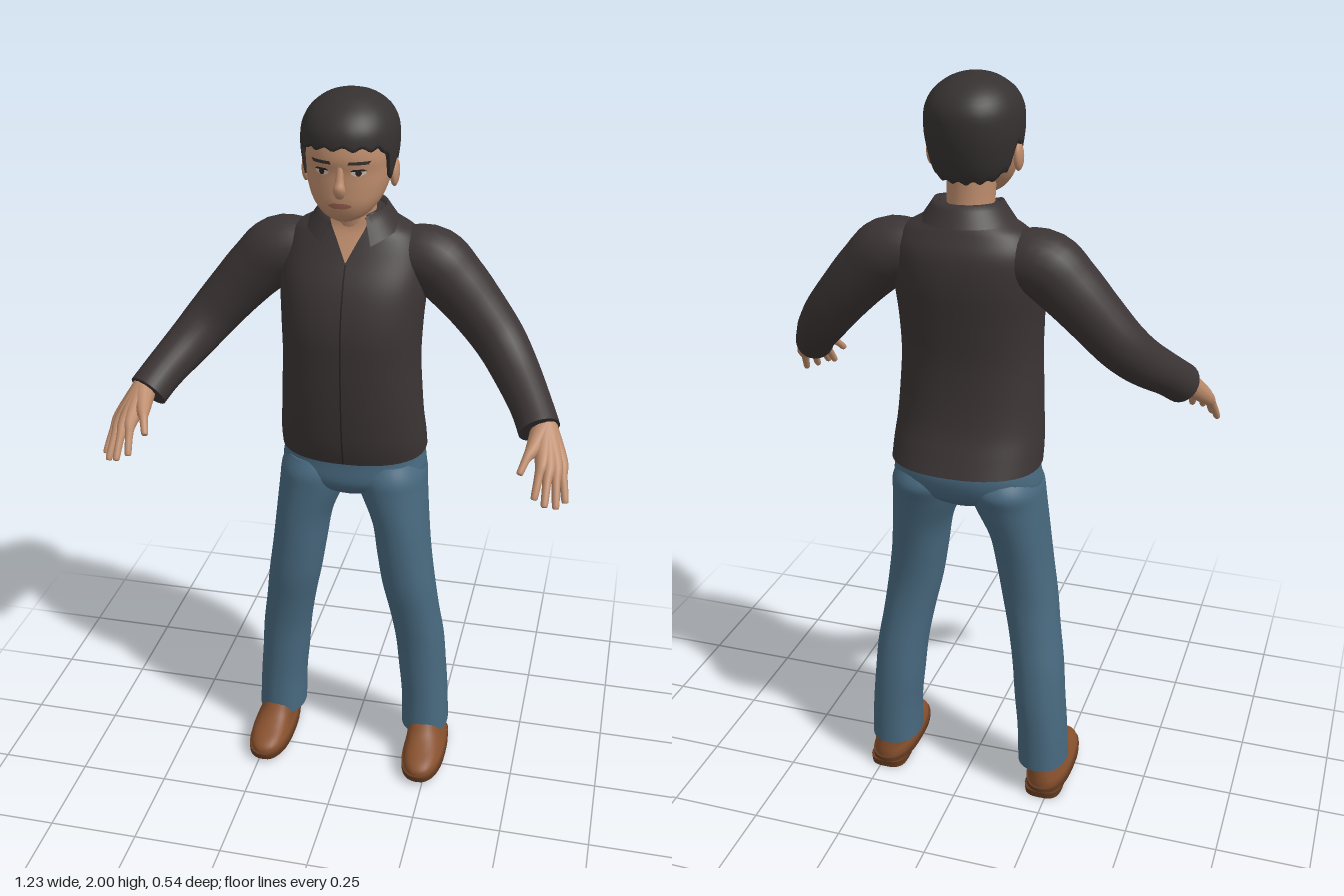
import * as THREE from 'three';

const mat = (name, color, side = THREE.FrontSide) => {
  const m = new THREE.MeshStandardMaterial({ color, side });
  m.name = name;
  return m;
};

// Uniform Catmull-Rom through rows of numbers, every column smoothed alike
function smooth(rows, steps = 5) {
  const out = [];
  for (let i = 0; i < rows.length - 1; i++) {
    const [a, b, c, d] = [-1, 0, 1, 2].map(k => rows[Math.min(rows.length - 1, Math.max(0, i + k))]);
    for (let s = 0; s < steps; s++) {
      const t = s / steps;
      out.push(b.map((v, j) => v + 0.5 * t * (c[j] - a[j] + t * (2 * a[j] - 5 * v + 4 * c[j] - d[j]
        + t * (3 * (v - c[j]) + d[j] - a[j])))));
    }
  }
  out.push(rows[rows.length - 1]);
  return out;
}

// Row of a section table at height y
function at(rows, y) {
  let i = 0;
  while (i < rows.length - 2 && rows[i + 1][0] < y) i++;
  const a = rows[i], b = rows[i + 1];
  const t = Math.min(1, Math.max(0, (y - a[0]) / (b[0] - a[0])));
  return a.map((v, j) => v + (b[j] - v) * t);
}

// Skin a grid of points, rings closed or open
function skin(rings, closed = true) {
  const m = rings[0].length, idx = [];
  for (let i = 0; i < rings.length - 1; i++) {
    for (let j = 0; j < (closed ? m : m - 1); j++) {
      const a = i * m + j, b = i * m + (j + 1) % m;
      idx.push(a, b, b + m, a, b + m, a + m);
    }
  }
  const g = new THREE.BufferGeometry();
  g.setAttribute('position', new THREE.Float32BufferAttribute(rings.flat(2), 3));
  g.setIndex(idx);
  g.computeVertexNormals();
  return g;
}

function capped(rings) {
  const centre = r => {
    const c = [0, 1, 2].map(k => r.reduce((s, p) => s + p[k], 0) / r.length);
    return r.map(() => c);
  };
  const first = rings[0], last = rings[rings.length - 1];
  return skin([centre(first), first, ...rings, last, centre(last)]);
}

// Section rows are [y, halfWidth, zFront, zBack, xCentre]
const spow = (v, e) => Math.sign(v) * Math.abs(v) ** (2 / e);
const ringPoint = ([y, w, zf, zb, cx = 0], a, e) =>
  [cx + w * spow(Math.sin(a), e), y, (zf + zb) / 2 + (zf - zb) / 2 * spow(Math.cos(a), e)];
const angles = n => Array.from({ length: n }, (_, j) => j / n * Math.PI * 2);
const loft = (rows, e = 2, n = 36) => capped(rows.map(r => angles(n).map(a => ringPoint(r, a, e))));

// Round sweep through [x, y, z, radius]
function sweep(points, n = 14, steps = 5) {
  const rows = smooth(points, steps);
  const curve = new THREE.CatmullRomCurve3(rows.map(r => new THREE.Vector3(r[0], r[1], r[2])));
  const f = curve.computeFrenetFrames(rows.length - 1);
  return capped(rows.map((r, i) => angles(n).map(a => {
    const p = new THREE.Vector3(r[0], r[1], r[2]);
    p.addScaledVector(f.normals[i], r[3] * Math.cos(a)).addScaledVector(f.binormals[i], r[3] * Math.sin(a));
    return p.toArray();
  })));
}

// Thin patch laid on the front of a loft; spans are [y, x0, x1]
function patch(rows, e, spans, off, cols = 8) {
  return skin(smooth(spans, 3).map(([y, x0, x1]) => Array.from({ length: cols + 1 }, (_, j) => {
    const x = x0 + (x1 - x0) * j / cols, [, w, zf, zb] = at(rows, y);
    const k = Math.max(0, 1 - Math.abs(x / w) ** e) ** (1 / e);
    return [x, y, (zf + zb) / 2 + (zf - zb) / 2 * k + off];
  })), false);
}

function mirrored(geo) {
  const g = geo.clone().scale(-1, 1, 1), i = g.index.array;
  for (let k = 0; k < i.length; k += 3) [i[k], i[k + 1]] = [i[k + 1], i[k]];
  g.computeVertexNormals();
  return g;
}

export function createModel() {
  const model = new THREE.Group();
  model.name = 'standingMan';
  const skinMat = mat('skin', 0xbd8c6c), shirt = mat('shirt', 0x3b3434, THREE.DoubleSide);
  const seam = mat('seam', 0x262121), hairMat = mat('hair', 0x363131, THREE.DoubleSide);
  const denim = mat('denim', 0x48697f), leather = mat('leather', 0x87502d), soleMat = mat('sole', 0x653c22);
  const white = mat('eyeWhite', 0xc9beb4), dark = mat('eyeDark', 0x2c2220), lip = mat('lip', 0x9c6250);
  const add = (name, geo, m) => {
    const mesh = new THREE.Mesh(geo, m);
    mesh.name = name;
    model.add(mesh);
  };
  const pair = (name, geo, m) => {
    add(name + 'Left', geo, m);
    add(name + 'Right', mirrored(geo), m);
  };

  // Shirt body
  const torso = smooth([
    [1.012, 0.2, 0.045, -0.262], [1.06, 0.199, 0.058, -0.243], [1.12, 0.194, 0.067, -0.222],
    [1.2, 0.189, 0.075, -0.21], [1.3, 0.184, 0.08, -0.207], [1.4, 0.187, 0.08, -0.217],
    [1.5, 0.193, 0.055, -0.229], [1.58, 0.187, 0.013, -0.225], [1.63, 0.16, -0.012, -0.203],
    [1.657, 0.118, -0.022, -0.188], [1.69, 0.075, -0.022, -0.165]]);
  add('shirtBody', loft(torso, 2.3, 48), shirt);
  add('shirtPlacketSeam', patch(torso, 2.3, [[1.015, -0.002, 0.002], [1.2, -0.002, 0.002],
    [1.4, -0.002, 0.002], [1.57, -0.002, 0.002]], 0.003, 1), seam);
  add('openNeckline', patch(torso, 2.3, [[1.575, -0.001, 0.001], [1.62, -0.024, 0.024],
    [1.66, -0.045, 0.045], [1.685, -0.05, 0.05]], 0.005), skinMat);

  // Folded collar, dropping to points at the front
  const collarRows = [[0.078, 1.692, 0.015], [0.086, 1.705, 0.02], [0.096, 1.69, 0.025], [0.122, 1.653, 0.033]];
  add('collar', skin(collarRows.map(([r, y, drop]) => Array.from({ length: 41 }, (_, j) => {
    const t = j / 20 - 1, a = Math.PI + t * 2.6;
    return [r * Math.sin(a), y - drop * t ** 4, -0.09 + r * Math.cos(a)];
  })), false), shirt);

  // Sleeves
  pair('sleeve', sweep([
    [0.12, 1.56, -0.11, 0.075], [0.2, 1.555, -0.11, 0.088], [0.265, 1.5, -0.106, 0.082],
    [0.33, 1.43, -0.097, 0.074], [0.39, 1.36, -0.078, 0.068], [0.44, 1.3, -0.03, 0.062],
    [0.49, 1.243, 0.045, 0.055], [0.52, 1.202, 0.1, 0.054]], 24), shirt);

  // Hands: each finger runs from the wrist, together they form the palm
  const fingers = {
    littleFinger: [[0.583, 1.145, 0.155], [0.604, 1.07, 0.216]],
    ringFinger: [[0.572, 1.147, 0.178], [0.584, 1.07, 0.25]],
    middleFinger: [[0.556, 1.15, 0.19], [0.557, 1.08, 0.266]],
    indexFinger: [[0.54, 1.155, 0.19], [0.53, 1.088, 0.25]],
    thumb: [[0.512, 1.178, 0.168], [0.489, 1.14, 0.226]],
  };
  for (const [name, [base, tip]] of Object.entries(fingers)) {
    const mid = base.map((v, k) => (v + tip[k]) / 2 + (k === 1 ? 0.008 : 0));
    const end = tip.map((v, k) => v + (v - mid[k]) * 0.08);
    pair(name, sweep([[0.532, 1.207, 0.095, 0.034], [...base, 0.019], [...mid, 0.0115],
      [...tip, 0.009], [...end, 0.003]], 10, 4), skinMat);
  }

  // Jeans
  add('jeansHips', loft(smooth([[0.882, 0.03, -0.03, -0.15], [0.905, 0.12, 0.005, -0.19],
    [0.94, 0.195, 0.026, -0.224], [1.0, 0.197, 0.026, -0.238], [1.06, 0.183, 0.03, -0.215]]), 2.2), denim);
  pair('jeansLeg', loft(smooth([
    [0.09, 0.069, -0.014, -0.186, 0.222], [0.2, 0.068, -0.017, -0.187, 0.218], [0.3, 0.069, -0.015, -0.185, 0.209],
    [0.4, 0.07, -0.01, -0.175, 0.2], [0.5, 0.071, 0.003, -0.161, 0.184], [0.6, 0.075, 0.02, -0.155, 0.167],
    [0.7, 0.076, 0.027, -0.165, 0.152], [0.8, 0.079, 0.03, -0.186, 0.138], [0.9, 0.095, 0.03, -0.214, 0.113],
    [0.95, 0.098, 0.028, -0.229, 0.105], [0.99, 0.085, 0.01, -0.21, 0.1]]), 2.15), denim);

  // Shoes
  pair('shoeUpper', loft(smooth([[0.025, 0.058, 0.11, -0.18, 0.235], [0.045, 0.06, 0.108, -0.181, 0.235],
    [0.062, 0.056, 0.088, -0.18, 0.234], [0.08, 0.052, 0.045, -0.178, 0.231],
    [0.1, 0.05, 0.008, -0.176, 0.227], [0.13, 0.046, -0.02, -0.172, 0.223]]), 2.4), leather);
  pair('shoeSole', loft([[0.008, 0.057, 0.108, -0.18, 0.235], [0.016, 0.063, 0.116, -0.186, 0.235],
    [0.032, 0.063, 0.117, -0.186, 0.235]], 2.5), soleMat);
  pair('shoeHeel', loft([[0, 0.052, -0.06, -0.184, 0.235], [0.02, 0.054, -0.055, -0.187, 0.235]], 3), soleMat);

  // Neck and head
  add('neck', loft(smooth([[1.6, 0.065, -0.03, -0.16], [1.68, 0.06, -0.012, -0.138],
    [1.76, 0.062, 0, -0.135]])), skinMat);
  const head = smooth([[1.692, 0.025, 0.048, -0.01], [1.708, 0.056, 0.065, -0.04], [1.74, 0.084, 0.078, -0.09],
    [1.78, 0.101, 0.08, -0.13], [1.82, 0.108, 0.08, -0.155], [1.86, 0.109, 0.085, -0.165],
    [1.92, 0.1, 0.07, -0.16], [1.965, 0.06, 0.03, -0.11]]);
  add('head', loft(head, 2.15), skinMat);
  add('nose', sweep([[0, 1.842, 0.074, 0.008], [0, 1.805, 0.083, 0.011], [0, 1.782, 0.087, 0.0155],
    [0, 1.766, 0.076, 0.011]]), skinMat);
  pair('ear', new THREE.SphereGeometry(1, 16, 12).scale(0.012, 0.036, 0.025).rotateX(-0.15)
    .translate(0.112, 1.8, -0.042), skinMat);

  // Painted face details
  const face = (spans, off) => patch(head, 2.15, spans, off, 6);
  pair('eyeWhite', face([[1.816, 0.038, 0.05], [1.823, 0.027, 0.063], [1.831, 0.034, 0.057]], 0.002), white);
  pair('iris', face([[1.817, 0.042, 0.049], [1.824, 0.038, 0.053], [1.831, 0.041, 0.05]], 0.004), dark);
  pair('eyelid', face([[1.829, 0.026, 0.065], [1.834, 0.034, 0.057]], 0.005), dark);
  pair('eyebrow', face([[1.845, 0.02, 0.068], [1.853, 0.024, 0.074]], 0.004), hairMat);
  add('mouth', face([[1.734, -0.014, 0.014], [1.741, -0.03, 0.03], [1.748, -0.016, 0.016]], 0.004), lip);

  // Hair cap with fringe, sideburns, cut-outs for the ears and a low nape
  const hair = smooth([[1.74, 0.088, 0.05, -0.138], [1.78, 0.107, 0.085, -0.16], [1.84, 0.119, 0.096, -0.178],
    [1.88, 0.122, 0.1, -0.184], [1.92, 0.118, 0.096, -0.183], [1.955, 0.1, 0.072, -0.162],
    [1.98, 0.07, 0.036, -0.126], [1.993, 0.04, 0.004, -0.088], [2, 0, -0.04, -0.04]]);
  const hairline = [[0, 1.885], [0.8, 1.88], [1.1, 1.865], [1.22, 1.8], [1.42, 1.795], [1.5, 1.835],
    [1.8, 1.835], [1.95, 1.775], [2.4, 1.752], [3.15, 1.748]];
  const hairRings = [];
  for (let i = -1; i <= 20; i++) {
    hairRings.push(angles(96).map(a => {
      const d = Math.min(a, Math.PI * 2 - a);
      const low = at(hairline, d)[1] + 0.005 * Math.sin(a * 17);
      const y = low + (2 - low) * Math.sin(Math.max(0, i) / 20 * Math.PI / 2);
      const p = ringPoint(at(hair, y), a, 2.1);
      return i < 0 ? [p[0] * 0.86, y, (p[2] + 0.04) * 0.86 - 0.04] : p;
    }));
  }
  add('hair', skin(hairRings), hairMat);
  return model;
}
